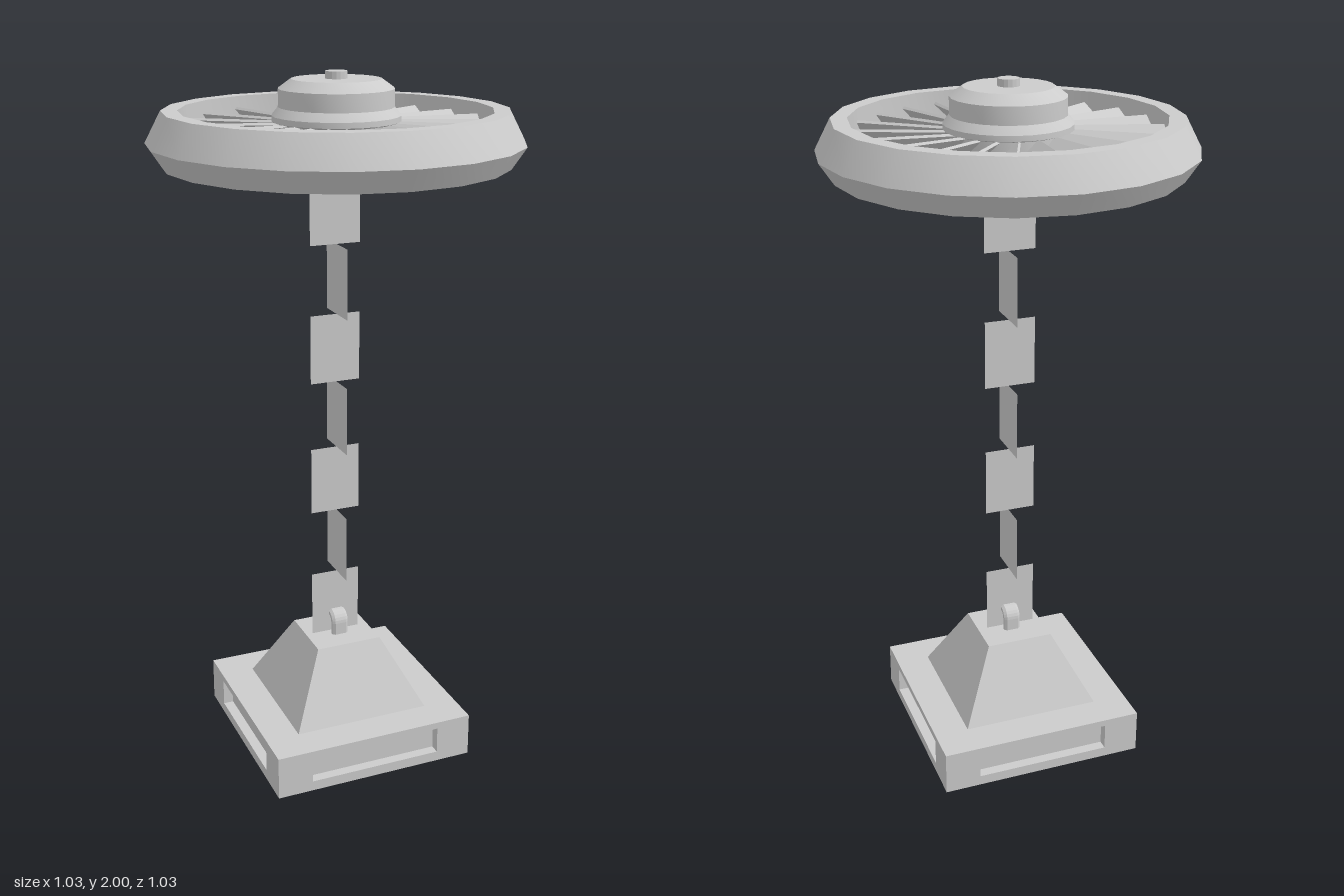
import * as THREE from 'three';
import { toCreasedNormals } from 'three/addons/utils/BufferGeometryUtils.js';

const grey = new THREE.MeshStandardMaterial({ color: 0xcccccc, side: THREE.DoubleSide });
const flat = new THREE.MeshStandardMaterial({ color: 0xcccccc, side: THREE.DoubleSide, flatShading: true });

function add(parent, name, geometry, material = grey, x = 0, y = 0, z = 0) {
  const mesh = new THREE.Mesh(geometry, material);
  mesh.name = name;
  mesh.position.set(x, y, z);
  parent.add(mesh);
  return mesh;
}

// Turned part from [radius, height] pairs, smooth around but sharp at profile corners
function turned(points, sides) {
  const profile = points.map(([r, y]) => new THREE.Vector2(r, y));
  return toCreasedNormals(new THREE.LatheGeometry(profile, sides), 0.36);
}

function rectangle(Type, x0, y0, x1, y1) {
  const shape = new Type();
  shape.moveTo(x0, y0).lineTo(x1, y0).lineTo(x1, y1).lineTo(x0, y1).closePath();
  return shape;
}

function createBase() {
  const base = new THREE.Group();
  base.name = 'base';
  const half = 0.305, top = 0.13, w = 0.2, low = 0.03, high = 0.11, depth = 0.03;

  // Four hollow walls, each with a sunken panel
  for (let i = 0; i < 4; i++) {
    const side = new THREE.Group();
    side.name = 'baseSide';
    side.rotation.y = i * Math.PI / 2;
    base.add(side);

    const wall = rectangle(THREE.Shape, -half, 0, half, top);
    wall.holes.push(rectangle(THREE.Path, -w, low, w, high));
    add(side, 'wall', new THREE.ShapeGeometry(wall), grey, 0, 0, half);

    const midY = (low + high) / 2, midZ = half - depth / 2;
    add(side, 'panel', new THREE.PlaneGeometry(2 * w, high - low), grey, 0, midY, half - depth);
    for (const s of [-1, 1]) {
      const ledge = add(side, 'panelLedge', new THREE.PlaneGeometry(2 * w, depth), grey,
        0, midY + s * (high - low) / 2, midZ);
      ledge.rotation.x = s * Math.PI / 2;
      const jamb = add(side, 'panelJamb', new THREE.PlaneGeometry(depth, high - low), grey, s * w, midY, midZ);
      jamb.rotation.y = -s * Math.PI / 2;
    }
  }

  // Flat shelf around the pedestal
  const shelf = rectangle(THREE.Shape, -half, -half, half, half);
  shelf.holes.push(rectangle(THREE.Path, -0.205, -0.205, 0.205, 0.205));
  add(base, 'shelf', new THREE.ShapeGeometry(shelf), grey, 0, top).rotation.x = -Math.PI / 2;

  // Hollow tapered pedestal and its top
  const pedestal = new THREE.CylinderGeometry(0.1 * Math.SQRT2, 0.205 * Math.SQRT2, 0.205, 4, 1, true);
  add(base, 'pedestal', pedestal, flat, 0, 0.2325).rotation.y = Math.PI / 4;
  add(base, 'pedestalTop', new THREE.PlaneGeometry(0.2, 0.2), grey, 0, 0.335).rotation.x = -Math.PI / 2;

  // Arched eye that holds the chain
  const arch = new THREE.Shape();
  arch.moveTo(0.03, 0).lineTo(0.03, 0.038).absarc(0, 0.038, 0.03, 0, Math.PI, false);
  arch.lineTo(-0.03, 0).lineTo(-0.02, 0).lineTo(-0.02, 0.038);
  arch.absarc(0, 0.038, 0.02, Math.PI, 0, true).lineTo(0.02, 0).closePath();
  const eye = new THREE.ExtrudeGeometry(arch, {
    depth: 0.034, curveSegments: 6, bevelEnabled: true, bevelThickness: 0.008, bevelSize: 0.006, bevelSegments: 1,
  });
  eye.translate(0, 0, -0.017);
  add(base, 'eye', eye, flat, 0, 0.333).rotation.y = Math.PI / 2;
  return base;
}

function createChain() {
  const chain = new THREE.Group();
  chain.name = 'chain';
  // Flat links, each turned a quarter from the last
  for (let i = 0; i < 7; i++) {
    const link = add(chain, 'link', new THREE.PlaneGeometry(0.15, 0.2), grey,
      i % 2 ? 0 : -0.004, 0.433 + i * 0.2, i % 2 ? 0.004 : 0);
    link.rotation.y = (i % 2) * Math.PI / 2;
  }
  return chain;
}

function createWheel() {
  const wheel = new THREE.Group();
  wheel.name = 'wheel';

  add(wheel, 'rim', turned([
    [0.425, 1.755], [0.475, 1.755], [0.515, 1.815], [0.47, 1.9], [0.425, 1.9], [0.425, 1.755],
  ], 20));

  add(wheel, 'hub', turned([
    [0, 1.72], [0.07, 1.72], [0.145, 1.755], [0.175, 1.79], [0.16, 1.8], [0.16, 1.865],
    [0.175, 1.87], [0.175, 1.885], [0.157, 1.907], [0.157, 1.955], [0.122, 1.98], [0, 1.98],
  ], 24));

  add(wheel, 'axleTop', turned([[0.03, 1.97], [0.03, 2], [0, 2]], 16));
  add(wheel, 'axleBottom', turned([[0, 1.69], [0.024, 1.69], [0.024, 1.73]], 16));

  // Pitched blades, spaced a little wider toward the back
  const blade = new THREE.BoxGeometry(0.285, 0.008, 0.092);
  const count = 21;
  for (let i = 0; i < count; i++) {
    const t = 1.484 + i * 2 * Math.PI / count;
    const arm = new THREE.Group();
    arm.name = 'bladeArm';
    arm.rotation.y = t - 0.13 * Math.cos(t) + 0.05;
    add(arm, 'blade', blade, grey, 0.2875, 1.835, 0).rotation.x = 0.75;
    wheel.add(arm);
  }
  return wheel;
}

export function createModel() {
  const model = new THREE.Group();
  model.name = 'hangingWheel';
  model.add(createBase(), createChain(), createWheel());
  return model;
}
